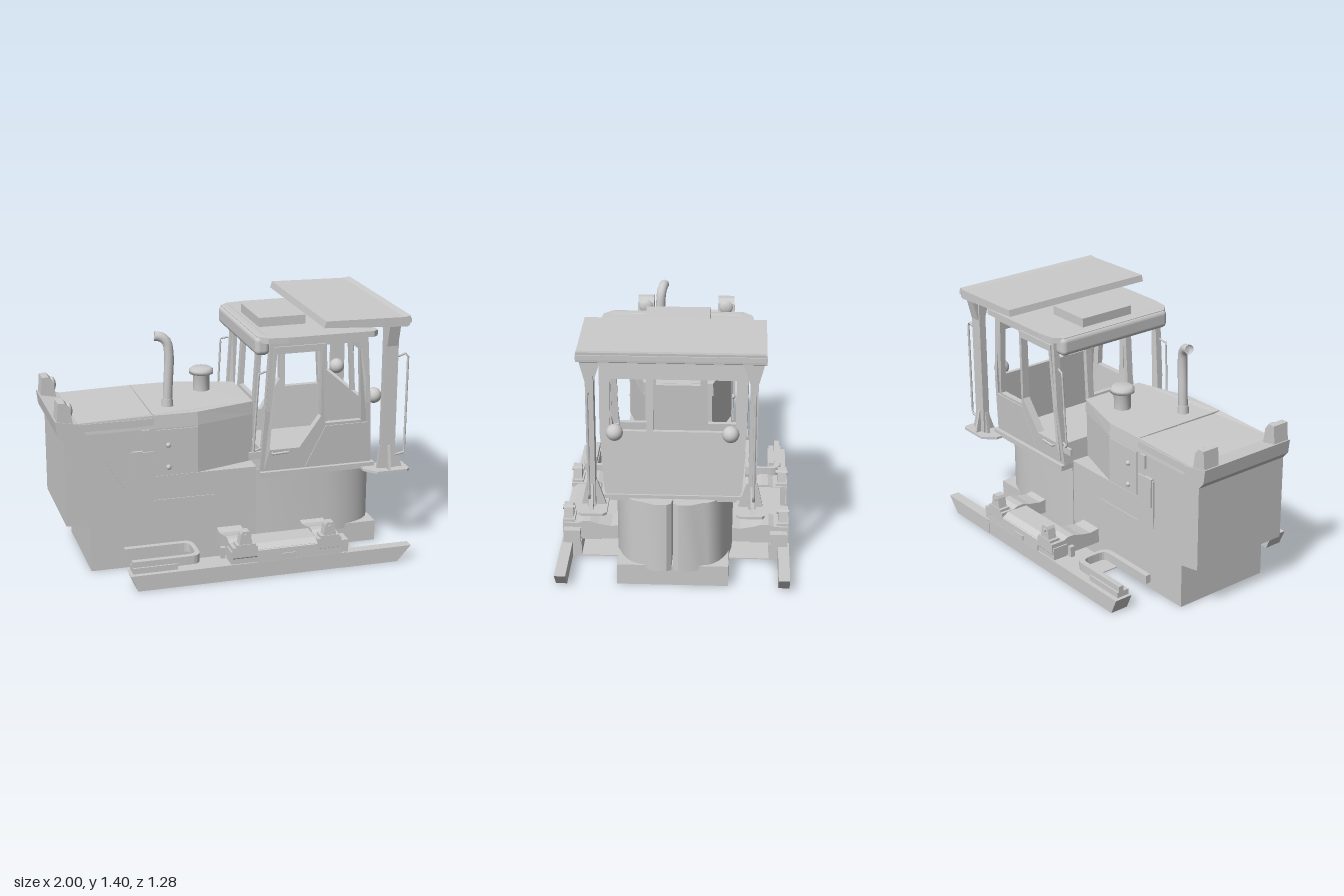
import * as THREE from 'three';
import { toCreasedNormals } from 'three/addons/utils/BufferGeometryUtils.js';
import { RoundedBoxGeometry } from 'three/addons/geometries/RoundedBoxGeometry.js';

const mat = new THREE.MeshStandardMaterial({ color: 0xcccccc, side: THREE.DoubleSide });
const V = (x, y, z) => new THREE.Vector3(x, y, z);

export function createModel() {
  const root = new THREE.Group();

  const add = (name, geo) => {
    const m = new THREE.Mesh(geo, mat);
    m.name = name;
    root.add(m);
    return m;
  };
  const extrude = (pts, depth, holes = []) => {
    const shape = new THREE.Shape(pts.map(p => new THREE.Vector2(p[0], p[1])));
    holes.forEach(h => shape.holes.push(new THREE.Path(h.map(p => new THREE.Vector2(p[0], p[1])))));
    return new THREE.ExtrudeGeometry(shape, { depth, bevelEnabled: false });
  };
  // Outline in x,y swept along z
  const sideGeo = (pts, z0, z1, holes) => extrude(pts, Math.abs(z1 - z0), holes).translate(0, 0, Math.min(z0, z1));
  // Outline in x,z swept up y
  const planGeo = (pts, y0, y1) => extrude(pts.map(p => [p[0], -p[1]]), y1 - y0).rotateX(-Math.PI / 2).translate(0, y0, 0);
  // Outline in z,y swept along x
  const endGeo = (pts, x0, x1, holes = []) => {
    const flip = a => a.map(p => [-p[0], p[1]]);
    return extrude(flip(pts), x1 - x0, holes.map(flip)).rotateY(Math.PI / 2).translate(x0, 0, 0);
  };
  const box = (name, x0, x1, y0, y1, z0, z1) => add(name,
    new THREE.BoxGeometry(x1 - x0, y1 - y0, Math.abs(z1 - z0)).translate((x0 + x1) / 2, (y0 + y1) / 2, (z0 + z1) / 2));
  const rect = (a, b, c, d) => [[a, c], [b, c], [b, d], [a, d]];
  const tube = (name, pts, r, curved = false) => {
    let path = new THREE.CurvePath();
    if (curved) path = new THREE.CatmullRomCurve3(pts);
    else for (let i = 1; i < pts.length; i++) path.add(new THREE.LineCurve3(pts[i - 1], pts[i]));
    return add(name, new THREE.TubeGeometry(path, 24, r, curved ? 16 : 8));
  };
  // Moves vertices by a rule
  const warp = (geo, fn) => {
    const p = geo.attributes.position, v = V(0, 0, 0);
    for (let i = 0; i < p.count; i++) {
      fn(v.fromBufferAttribute(p, i));
      p.setXYZ(i, v.x, v.y, v.z);
    }
    geo.computeVertexNormals();
    return geo;
  };
  const both = fn => [1, -1].forEach(fn);
  const mirrorZ = half => [...half, ...half.slice().reverse().map(p => [p[0], -p[1]])];

  // Hull and floor plate
  box('lowerHull', -0.82, 0.14, 0, 0.27, -0.298, 0.298);
  box('hullRear', 0.14, 0.87, 0, 0.12, -0.302, 0.302);
  box('bottomPlate', -0.26, 0.57, 0, 0.006, -0.6, 0.6);

  // Engine body, nose guard and hood
  add('engineBody', sideGeo([[-0.95, 0.29], [-0.11, 0.14], [0.14, 0.1], [0.16, 0.53], [-0.45, 0.53],
    [-0.45, 0.87], [-0.94, 0.87]], -0.3, 0.3));
  add('noseGuard', sideGeo([[-1, 0.9], [-0.99, 0.82], [-0.955, 0.78], [-0.955, 0.29], [-0.72, 0.248], [-0.11, 0.14],
    [-0.11, 0.39], [-0.57, 0.39], [-0.87, 0.875]], -0.305, 0.305));
  const hoodPlan = mirrorZ([[-0.46, 0.297], [-0.2, 0.297], [0.15, 0.19]]);
  add('hoodSides', planGeo(hoodPlan, 0.52, 0.83));
  add('hoodTop', warp(planGeo(mirrorZ([[-0.9, 0.302], [-0.455, 0.302], [-0.2, 0.302], [0.15, 0.2]]), 0.81, 0.885), v => {
    if (v.y > 0.85) { v.z *= 0.975; if (v.x < -0.8) v.y = 0.875; }
  }));
  box('hoodSeam', -0.453, -0.447, 0.87, 0.889, -0.29, 0.29);
  both(s => {
    box('sidePanel', -0.44, -0.2, 0.54, 0.8, s * 0.29, s * 0.303);
    box('sideGrille', -0.59, -0.455, 0.39, 0.68, s * 0.29, s * 0.309);
    box('grilleStep', -0.58, -0.52, 0.52, 0.69, s * 0.29, s * 0.318);
    box('panelVent', -0.52, -0.48, 0.73, 0.81, s * 0.29, s * 0.314);
    [0.58, 0.71].forEach(y => add('panelLatch', new THREE.SphereGeometry(0.015, 10, 8).translate(-0.37, y, s * 0.305)));
    // Nose lamps
    add('noseLampHousing', sideGeo([[-0.99, 0.88], [-0.9, 0.875], [-0.915, 0.97], [-0.94, 1], [-0.98, 1]], s * 0.2, s * 0.3));
    add('noseLampBowl', new THREE.SphereGeometry(0.043, 20, 14).scale(0.5, 1, 1).translate(-0.915, 0.945, s * 0.25));
  });

  // Exhaust and air intake
  tube('exhaustPipe', [V(-0.33, 0.87, 0.125), V(-0.325, 1.0, 0.125), V(-0.318, 1.18, 0.125), V(-0.33, 1.25, 0.12),
    V(-0.36, 1.278, 0.112), V(-0.395, 1.283, 0.105)], 0.027, true);
  add('exhaustCollar', new THREE.CylinderGeometry(0.03, 0.034, 0.05, 20).translate(-0.33, 0.9, 0.125));
  add('airIntake', new THREE.LatheGeometry([[0.048, 0], [0.048, 0.1], [0.07, 0.105], [0.07, 0.125], [0.055, 0.138], [0, 0.14]]
    .map(p => new THREE.Vector2(...p)), 28).translate(-0.07, 0.88, -0.105));

  // Twin-lobed rear tank
  both(s => {
    const half = [[0.14, 0.004], [0.14, 0.305], [0.3, 0.318], [0.55, 0.318]];
    for (let i = 1; i <= 8; i++) {
      const a = i / 8 * Math.PI / 2;
      half.push([0.55 + 0.31 * Math.sin(a), 0.16 + 0.158 * Math.cos(a)]);
    }
    half.push([0.89, 0.1], [0.89, 0.03], [0.87, 0.004]);
    add('rearTank', toCreasedNormals(planGeo(half.map(p => [p[0], s * p[1]]), 0.095, 0.5), 0.6));
  });

  // Cab shell: walls flare with height, end walls lean inward
  const halfWidth = y => (y < 0.88 ? 0.36 + (y - 0.5) * 0.075 : 0.388);
  const lean = (x, y) => x + (x < 0.4 ? 0.05 : -0.05) * (y - 0.5) / 0.78 * Math.min(1, Math.abs(x - 0.475) / 0.33);
  box('cabFloor', 0.14, 0.82, 0.488, 0.52, -0.385, 0.385);
  both(s => {
    const wall = (name, pts, holes, t0, t1) => add(name, warp(sideGeo(pts, t0, t1, holes), v => {
      v.x = lean(v.x, v.y);
      v.z = s * (halfWidth(v.y) + v.z);
    }));
    const doorGlass = [[0.185, 0.65], [0.365, 0.65], [0.49, 0.83], [0.49, 1.21], [0.185, 1.21]];
    const sideGlass = rect(0.525, 0.75, 0.78, 1.24);
    wall('cabSide', [[0.14, 0.5], [0.81, 0.5], [0.81, 0.88], [0.81, 1.28], [0.14, 1.28], [0.14, 0.88]],
      [doorGlass, sideGlass], -0.035, 0);
    wall('doorFrame', [[0.165, 0.54], [0.39, 0.54], [0.515, 0.78], [0.515, 1.25], [0.165, 1.25]], [doorGlass], -0.01, 0.01);
    wall('sideLowerPanel', [[0.41, 0.53], [0.79, 0.53], [0.79, 0.765], [0.525, 0.765]], [], -0.01, 0.006);
    tube('doorHandle', [V(0.21, 0.63, s * 0.37), V(0.21, 0.63, s * 0.395), V(0.3, 0.635, s * 0.395)], 0.007);
    tube('frontGrabRail', [V(0.15, 0.66, s * 0.36), V(0.1, 0.65, s * 0.375), V(0.125, 1.1, s * 0.38), V(0.17, 1.11, s * 0.37)], 0.006);
    box('frontGrabBracket', 0.08, 0.15, 0.6, 0.64, s * 0.35, s * 0.365);
  });
  const endOutline = [[-0.36, 0.5], [0.36, 0.5], [0.388, 0.88], [0.388, 1.28], [-0.388, 1.28], [-0.388, 0.88]];
  const leanX = v => { v.x = lean(v.x, v.y); };
  add('cabFrontWall', warp(endGeo(endOutline, 0.14, 0.17,
    [rect(-0.125, 0.125, 0.89, 1.2), rect(0.165, 0.35, 0.65, 1.2), rect(-0.35, -0.165, 0.65, 1.2)]), leanX));
  add('cabRearWall', warp(endGeo(endOutline, 0.785, 0.81,
    [rect(-0.33, 0.105, 0.88, 1.17), rect(0.14, 0.335, 0.88, 1.17)]), leanX));
  add('cabRoof', planGeo(mirrorZ([[0.12, 0.36], [0.17, 0.41], [0.28, 0.425], [0.78, 0.425], [0.81, 0.4]]), 1.275, 1.308));
  add('roofVisor', new RoundedBoxGeometry(0.085, 0.11, 0.76, 3, 0.03).translate(0.15, 1.255, 0));
  box('roofUnit', 0.19, 0.465, 1.3, 1.36, -0.18, 0.17);
  both(s => add('rearLamp', new THREE.SphereGeometry(0.045, 24, 16).translate(0.835, 0.895, s * 0.305)));

  // Rollover frame and canopy
  add('canopy', sideGeo([[0.465, 1.363], [0.95, 1.337], [0.965, 1.345], [0.97, 1.398], [0.93, 1.392], [0.475, 1.4]], -0.485, 0.485));
  box('canopyRearRib', 0.955, 0.975, 1.36, 1.385, -0.487, 0.487);
  both(s => {
    box('framePost', 0.84, 0.92, 0.5, 1.35, s * 0.403, s * 0.445);
    add('postHead', endGeo([[0.36, 1.345], [0.48, 1.345], [0.448, 1.22], [0.4, 1.22]].map(p => [s * p[0], p[1]]), 0.85, 0.915));
    add('basePlate', planGeo([[0.74, 0.34], [0.98, 0.34], [1, 0.36], [1, 0.475], [0.98, 0.49], [0.8, 0.49], [0.74, 0.42]]
      .map(p => [p[0], s * p[1]]), 0.484, 0.498));
    add('postGusset', endGeo([[0.35, 0.498], [0.48, 0.498], [0.45, 0.635], [0.395, 0.635]].map(p => [s * p[0], p[1]]), 0.872, 0.888));
    add('postFoot', sideGeo([[0.82, 0.498], [0.97, 0.498], [0.925, 0.63], [0.835, 0.63]], s * 0.414, s * 0.434));
    tube('rearGrabRail', [V(0.915, 1.15, s * 0.43), V(0.975, 1.17, s * 0.43), V(0.985, 1.15, s * 0.43),
      V(0.982, 0.58, s * 0.43), V(0.92, 0.57, s * 0.43)], 0.007);
  });

  // Side rails, guards and step loops
  both(s => {
    add('sideRailFront', sideGeo([[-0.63, 0], [0.57, 0], [0.57, 0.092], [-0.67, 0.092]], s * 0.525, s * 0.633));
    add('sideRailRear', sideGeo([[0.54, 0], [0.88, 0], [0.96, 0.09], [0.54, 0.09]], s * 0.575, s * 0.636));
    const zs = pts => pts.map(p => [s * p[0], p[1]]);
    add('trackGuard', endGeo(zs([[0.42, 0.09], [0.632, 0.09], [0.63, 0.16], [0.59, 0.188], [0.46, 0.188], [0.43, 0.16]]), 0.05, 0.54));
    box('guardStrip', -0.1, 0.585, 0.09, 0.165, s * 0.53, s * 0.625);
    box('guardTab', 0.19, 0.27, 0.1, 0.13, s * 0.6, s * 0.638);
    [[-0.092, 0.05], [0.4, 0.54]].forEach(([a, b]) => add('crossArm', endGeo(zs([[0.29, 0.095], [0.6, 0.095], [0.632, 0.13],
      [0.632, 0.19], [0.55, 0.19], [0.52, 0.203], [0.48, 0.203], [0.43, 0.188], [0.36, 0.175], [0.29, 0.185]]), a, b)));
    // Hook brackets
    [-0.017, 0.473].forEach(x => {
      box('bracketBase', x - 0.055, x + 0.055, 0.185, 0.205, s * 0.565, s * 0.632);
      add('hookBracket', sideGeo([[x - 0.038, 0.2], [x + 0.038, 0.2], [x + 0.028, 0.265], [x + 0.02, 0.28], [x - 0.02, 0.28], [x - 0.028, 0.265]],
        s * 0.575, s * 0.627));
      add('bracketPin', new THREE.CylinderGeometry(0.012, 0.012, 0.07, 12).rotateX(Math.PI / 2).translate(x, 0.255, s * 0.6));
    });
    box('railBlock', -0.13, -0.105, 0.09, 0.155, s * 0.5, s * 0.53);
    // U-shaped step loop
    const loop = [];
    const arc = (r, dir) => {
      const pts = [[-0.65, 0.485 + r]];
      for (let i = 0; i <= 12; i++) {
        const a = Math.PI / 2 - i / 12 * Math.PI, c = Math.cos(a), n = Math.sin(a);
        pts.push([-0.345 + r * 0.78 * Math.sqrt(c > 0 ? c : 0), 0.485 + r * Math.sign(n) * Math.sqrt(Math.abs(n))]);
      }
      pts.push([-0.65, 0.485 - r]);
      loop.push(...(dir > 0 ? pts : pts.reverse()));
    };
    arc(0.11, 1);
    arc(0.078, -1);
    add('stepLoop', planGeo(loop.map(p => [p[0], s * p[1]]), 0.108, 0.158));
    box('stepLoopMount', -0.65, -0.4, 0.09, 0.125, s * 0.53, s * 0.605);
  });

  return root;
}
